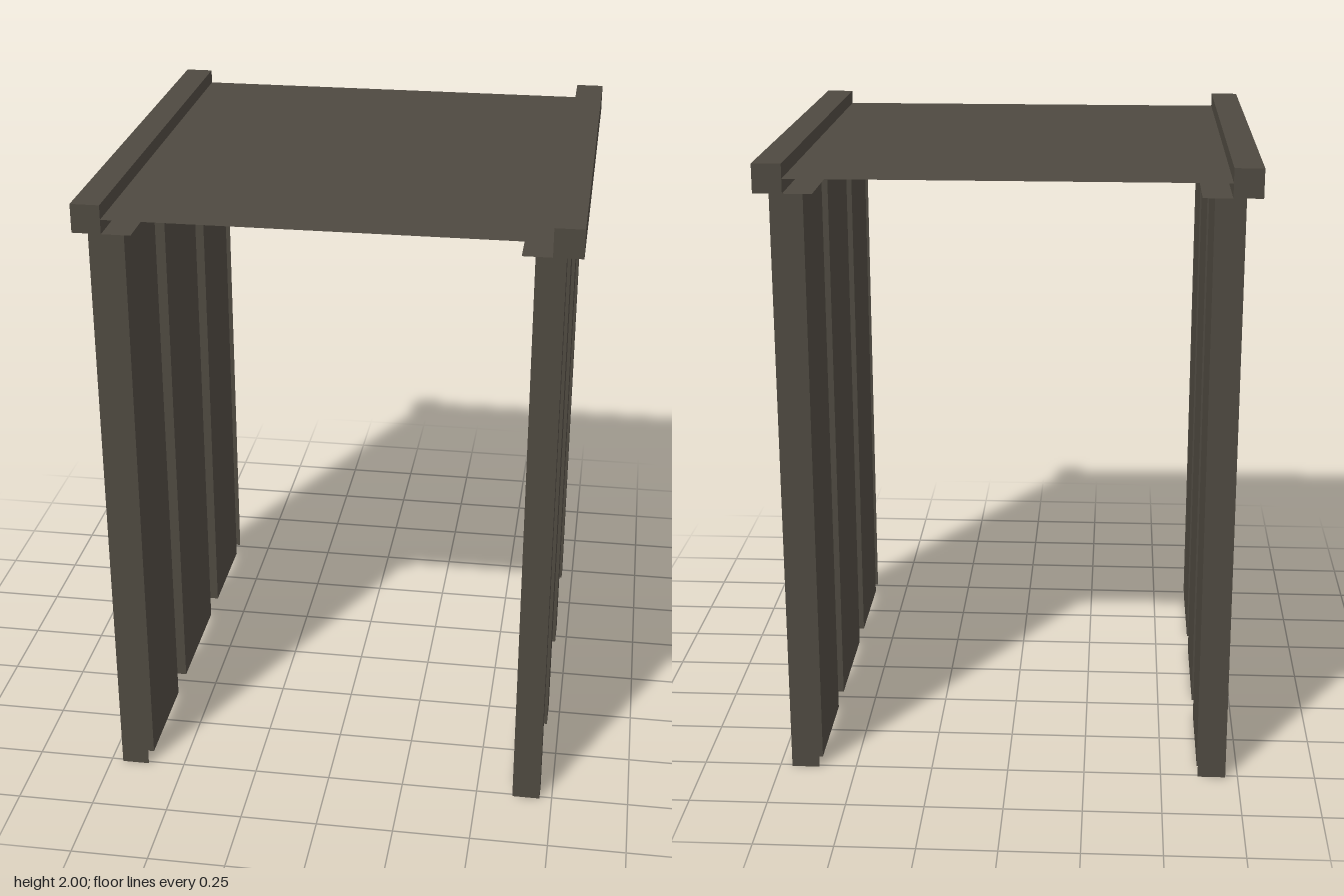
import * as THREE from 'three';

const HALF = 0.76;   // half depth
const EAVE = 1.91;   // top of the walls
const INNER = 0.62, OUTER = 0.71;

// Upright folded sheet following [x, z] points, with hard creases
function foldedSheet(points, height) {
  const pos = [];
  for (let i = 0; i < points.length - 1; i++) {
    const [x0, z0] = points[i], [x1, z1] = points[i + 1];
    pos.push(x0, 0, z0, x1, 0, z1, x1, height, z1);
    pos.push(x0, 0, z0, x1, height, z1, x0, height, z0);
  }
  const geo = new THREE.BufferGeometry();
  geo.setAttribute('position', new THREE.Float32BufferAttribute(pos, 3));
  geo.computeVertexNormals();
  return geo;
}

// Corrugated wall profile: ribs stand out to the outer line
function wallProfile(side) {
  const ribs = [[-0.76, -0.69], [-0.33, -0.21], [0.21, 0.33], [0.69, 0.76]];
  const pts = [];
  for (const [a, b] of ribs) {
    pts.push([INNER, a], [OUTER, a], [OUTER, b], [INNER, b]);
  }
  // Reversed on the left so that faces look outward on both sides
  const out = pts.map(([x, z]) => [x * side, z]);
  return side > 0 ? out.reverse() : out;
}

export function createModel() {
  const model = new THREE.Group();
  model.name = 'shelter';
  const metal = new THREE.MeshStandardMaterial({ color: 0x4e4940, side: THREE.DoubleSide });
  metal.name = 'dull brown metal';

  const add = (name, geo, x = 0, y = 0, z = 0) => {
    const mesh = new THREE.Mesh(geo, metal);
    mesh.name = name;
    mesh.position.set(x, y, z);
    model.add(mesh);
    return mesh;
  };

  for (const side of [1, -1]) {
    const label = side > 0 ? 'left' : 'right';
    // Corrugated wall
    add(label + 'Wall', foldedSheet(wallProfile(side), EAVE));
    // Square rail along the eave
    add(label + 'Rail', new THREE.BoxGeometry(0.09, 0.09, 2 * HALF), side * 0.715, 1.955);
    // Thin ledge over the wall top, reaching inward under the roof
    add(label + 'Ledge', new THREE.PlaneGeometry(0.09, 2 * HALF).rotateX(-Math.PI / 2), side * 0.625, EAVE);
  }

  // Flat roof sheet between the rails
  add('roof', new THREE.PlaneGeometry(1.34, 2 * HALF).rotateX(-Math.PI / 2), 0, 1.955);
  return model;
}
